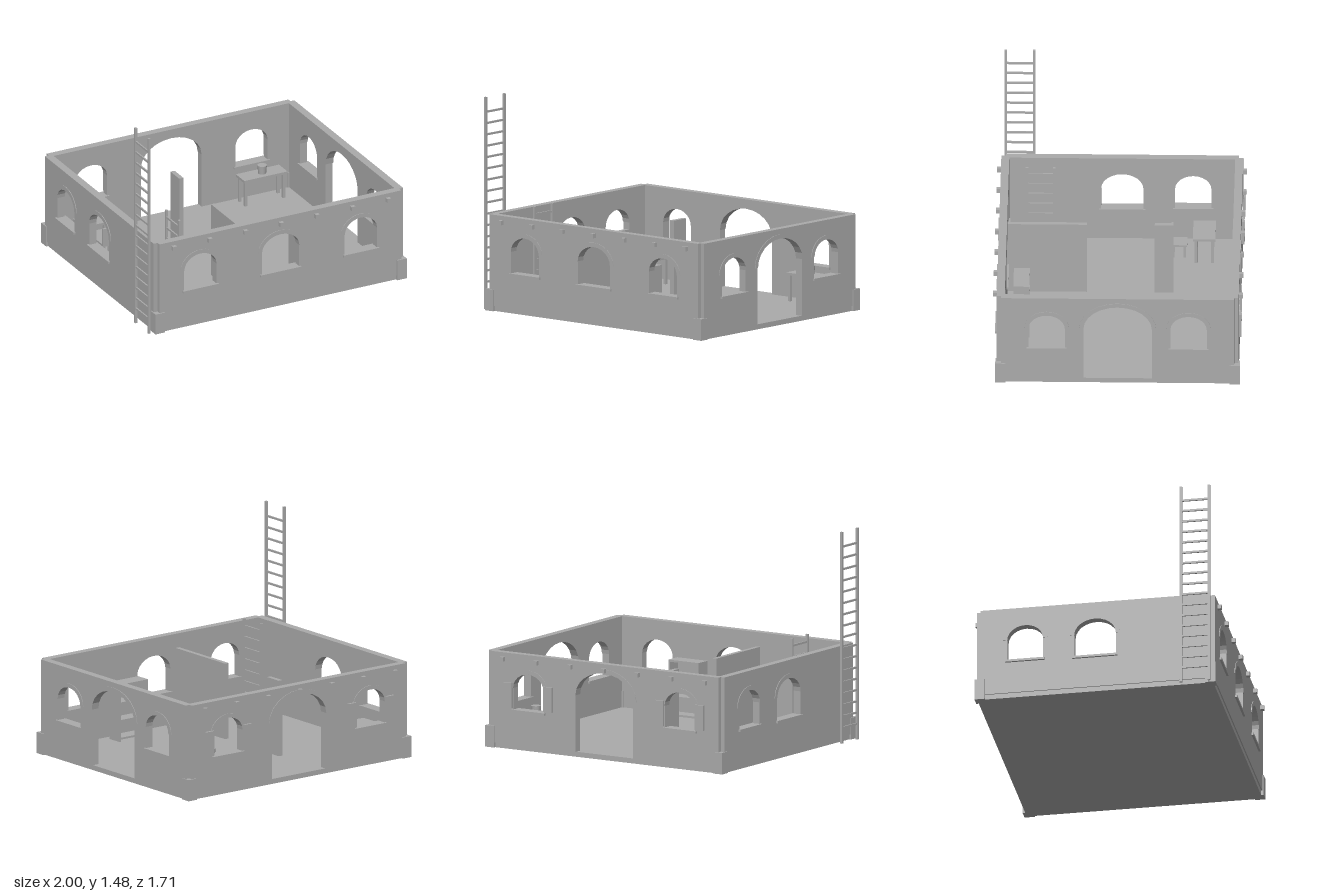
import * as THREE from 'three';

const CX = 0.0125;          // middle of the building in x
const FLOOR = 0.035, TOP = 0.67, THICK = 0.055;

export function createModel() {
  const root = new THREE.Group();
  root.name = 'roofless house';
  const plaster = new THREE.MeshStandardMaterial({ color: 0xaaaaaa });
  plaster.name = 'grey plaster';

  const mesh = (name, geo, parent = root) => {
    const m = new THREE.Mesh(geo, plaster);
    m.name = name;
    parent.add(m);
    return m;
  };
  // box given by its limits
  const box = (name, x0, x1, y0, y1, z0, z1, parent) => {
    const m = mesh(name, new THREE.BoxGeometry(x1 - x0, y1 - y0, z1 - z0), parent);
    m.position.set((x0 + x1) / 2, (y0 + y1) / 2, (z0 + z1) / 2);
    return m;
  };
  // half-ellipse points from the right springing to the left one
  const arch = (c, rx, spring, ry, n = 12) => Array.from({ length: n + 1 }, (_, i) => {
    const a = Math.PI * i / n;
    return new THREE.Vector2(c + rx * Math.cos(a), spring + ry * Math.sin(a));
  });
  const extrude = (shape, depth) => new THREE.ExtrudeGeometry(shape, { depth, bevelEnabled: false });

  const small = (c, shutters = false) => ({ c, rx: 0.125, base: 0.28, spring: 0.43, ry: 0.105, shutters });
  const large = c => ({ c, rx: 0.145, base: 0.27, spring: 0.43, ry: 0.115 });
  const door = c => ({ c, rx: 0.235, base: FLOOR, spring: 0.43, ry: 0.175, isDoor: true });

  // wall in its own frame: u along local x, outside towards local +z
  function wall(name, half, openings, x, z, turn) {
    const g = new THREE.Group();
    g.name = name;
    g.position.set(x, 0, z);
    g.rotation.y = turn;
    root.add(g);

    const outline = [new THREE.Vector2(half, FLOOR), new THREE.Vector2(half, TOP),
      new THREE.Vector2(-half, TOP), new THREE.Vector2(-half, FLOOR)];
    const holes = [];
    for (const o of openings) {
      const curve = arch(o.c, o.rx, o.spring, o.ry);
      const left = new THREE.Vector2(o.c - o.rx, o.base), right = new THREE.Vector2(o.c + o.rx, o.base);
      if (o.isDoor) outline.push(left, ...curve.reverse(), right);
      else holes.push(new THREE.Path([right, ...curve, left]));

      // thin arch trim
      const ring = new THREE.Shape([
        ...arch(o.c, o.rx + 0.03, o.spring, o.ry + 0.03),
        ...arch(o.c, o.rx, o.spring, o.ry).reverse()]);
      mesh('archTrim', extrude(ring, 0.004), g);

      if (!o.isDoor) {
        const w = o.rx + 0.013;
        box('windowSill', o.c - w, o.c + w, o.base - 0.016, o.base, -THICK - 0.012, 0.015, g);
      }
      if (o.shutters) {
        for (const s of [-1, 1]) {
          const a = o.c + s * 0.13, b = o.c + s * 0.2;
          box('shutter', Math.min(a, b), Math.max(a, b), 0.29, 0.465, 0, 0.016, g);
        }
      }
    }
    const shape = new THREE.Shape(outline);
    shape.holes = holes;
    mesh('wallPanel', extrude(shape, THICK), g).position.z = -THICK;
    return g;
  }

  const d = 0.6225;
  const front = wall('frontWall', 0.9375, [small(-d), large(0), small(d)], CX, 0.83, 0);
  const back = wall('backWall', 0.9375, [small(-d, true), door(0), small(d, true)], CX, -0.83, Math.PI);
  wall('rightWall', 0.8, [small(-0.487), door(0), small(0.487)], 0.98, 0, Math.PI / 2);
  wall('leftWall', 0.8, [small(-0.487), large(0)], -0.955, 0, -Math.PI / 2);

  // beam ends on the front and back walls
  for (const g of [front, back]) {
    for (let i = -3; i <= 3; i++) {
      const u = i * 0.277;
      box('beamEnd', u - 0.015, u + 0.015, 0.61, 0.64, -0.01, 0.027, g);
    }
  }

  // floor slab and corner stones
  box('floor', -0.947, 0.972, 0, FLOOR, -0.822, 0.822);
  for (const sx of [-1, 1]) for (const sz of [-1, 1]) {
    const m = box('cornerStone', -0.0365, 0.0365, 0, 0.15, -0.036, 0.036);
    m.position.x = CX + sx * 0.938;
    m.position.z = sz * 0.804;
  }

  // inner partitions
  box('longPartition', -0.21, -0.178, FLOOR, 0.57, 0.23, 0.775);
  box('shortPartition', -0.21, -0.178, FLOOR, 0.57, -0.365, -0.235);

  // ladders standing in a plane of constant x
  function ladder(name, x, z0, z1, y0, y1, firstRung, step) {
    const g = new THREE.Group();
    g.name = name;
    root.add(g);
    for (const z of [z0, z1]) box('rail', x - 0.008, x + 0.008, y0, y1, z - 0.009, z + 0.009, g);
    for (let y = firstRung; y < y1 - 0.05; y += step)
      box('rung', x - 0.005, x + 0.005, y - 0.007, y + 0.007, z0, z1, g);
  }
  ladder('outerLadder', -0.992, 0.605, 0.8, 0, 1.475, 0.109, 0.0789);
  ladder('innerLadder', -0.678, 0.462, 0.65, FLOOR, 0.725, 0.12, 0.0789);

  // four-legged furniture
  function table(name, x0, x1, z0, z1, top, thick, leg) {
    const g = new THREE.Group();
    g.name = name;
    root.add(g);
    box('top', x0, x1, top - thick, top, z0, z1, g);
    for (const x of [x0 + 0.01, x1 - 0.01 - leg]) for (const z of [z0 + 0.01, z1 - 0.01 - leg])
      box('leg', x, x + leg, FLOOR, top - thick, z, z + leg, g);
    return g;
  }
  table('diningTable', -0.82, -0.565, -0.645, -0.49, 0.23, 0.018, 0.02);
  const chair = table('chair', -0.745, -0.635, -0.45, -0.34, 0.14, 0.014, 0.014);
  box('chairBack', -0.745, -0.635, 0.14, 0.26, -0.355, -0.34, chair);
  table('sideTable', 0.5, 0.835, -0.75, -0.625, 0.235, 0.018, 0.02);
  mesh('pot', new THREE.CylinderGeometry(0.033, 0.028, 0.06, 16)).position.set(0.67, 0.265, -0.685);

  // shelf unit, open towards the back wall
  const shelf = new THREE.Group();
  shelf.name = 'shelfUnit';
  root.add(shelf);
  for (const x of [0.19, 0.426]) box('shelfSide', x, x + 0.014, FLOOR, 0.44, 0.615, 0.725, shelf);
  box('shelfBack', 0.204, 0.426, FLOOR, 0.44, 0.715, 0.725, shelf);
  for (const y of [0.05, 0.175, 0.3, 0.426]) box('shelfBoard', 0.204, 0.426, y, y + 0.014, 0.615, 0.715, shelf);

  return root;
}
